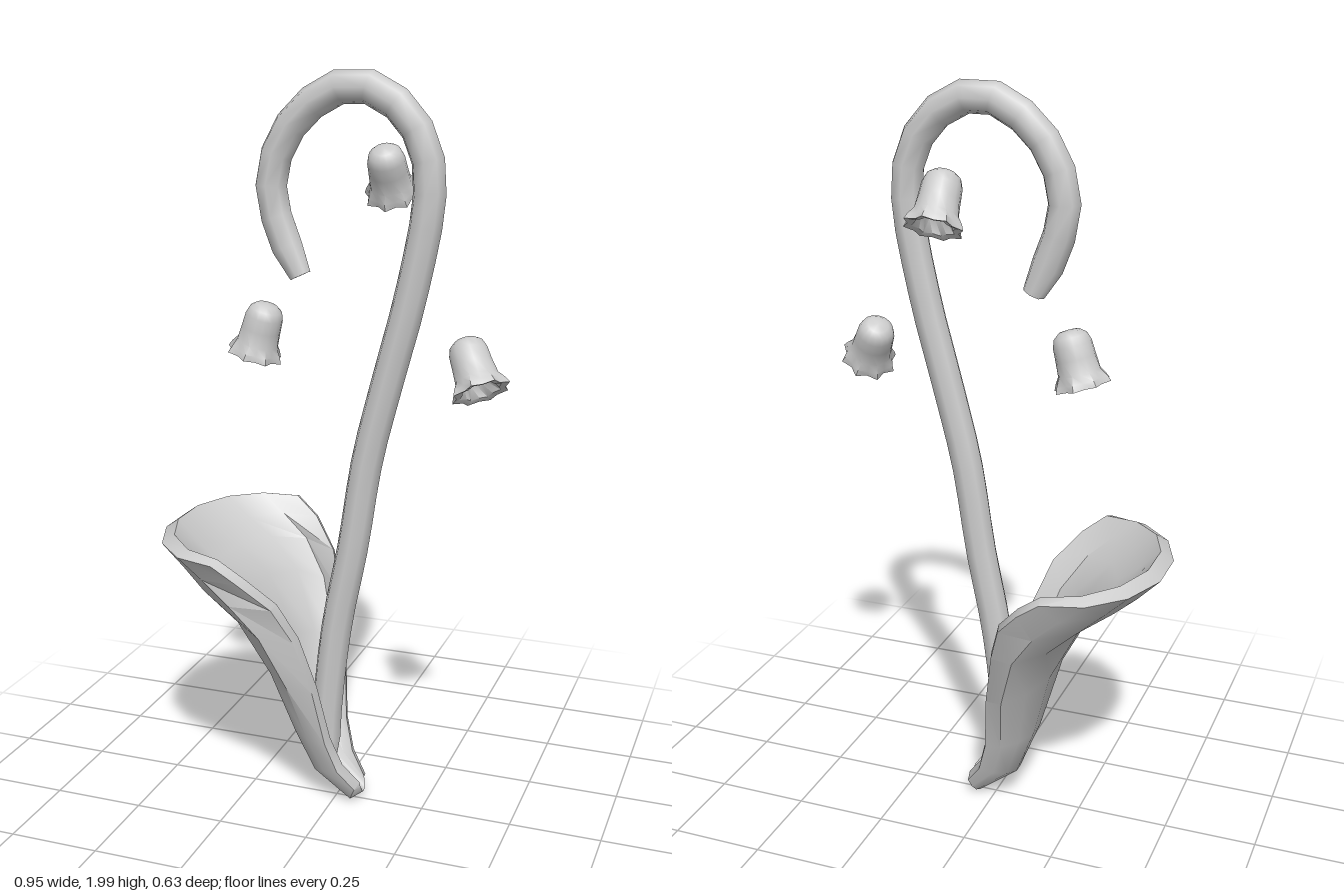
import * as THREE from 'three';
import { mergeVertices, toCreasedNormals } from 'three/addons/utils/BufferGeometryUtils.js';

const material = new THREE.MeshStandardMaterial({ color: 0xcccccc });

function addMesh(parent, name, geometry) {
  const mesh = new THREE.Mesh(geometry, material);
  mesh.name = name;
  parent.add(mesh);
  return mesh;
}

// Hooked stem with slightly tapered, capped ends
function makeStem() {
  const stem = new THREE.Group();
  stem.name = 'stem';
  const radius = 0.043, rings = 32, sides = 8;
  const path = new THREE.CatmullRomCurve3([
    [-0.035, 0.1], [-0.03, 0.25], [0.0, 0.52], [0.045, 0.75], [0.085, 1.0], [0.14, 1.22],
    [0.2, 1.45], [0.243, 1.7], [0.228, 1.81], [0.165, 1.905], [0.045, 1.957],
    [-0.08, 1.9], [-0.155, 1.8], [-0.178, 1.69], [-0.145, 1.57], [-0.1, 1.475],
  ].map(([x, y]) => new THREE.Vector3(x, y, 0)));
  const tube = new THREE.TubeGeometry(path, rings, radius, sides);
  const pos = tube.attributes.position;
  const v = new THREE.Vector3();
  for (const end of [0, 1]) {
    const centre = path.getPointAt(end);
    for (let k = 0; k <= sides; k++) {
      const i = end * rings * (sides + 1) + k;
      v.fromBufferAttribute(pos, i).sub(centre).multiplyScalar(0.7).add(centre);
      pos.setXYZ(i, v.x, v.y, v.z);
    }
    const cap = addMesh(stem, 'stemEnd', new THREE.CircleGeometry(radius * 0.7, sides));
    cap.position.copy(centre);
    const outward = path.getTangentAt(end).multiplyScalar(end ? 1 : -1);
    cap.quaternion.setFromUnitVectors(new THREE.Vector3(0, 0, 1), outward);
  }
  addMesh(stem, 'stemTube', tube);
  return stem;
}

// Thick flaring leaf: each row is a curled arc from one free edge round the back to the other
function makeLeaf() {
  // back x, back y, edge x, edge y, half width, curl angle
  const rows = [
    [-0.48, 0.77, -0.23, 0.77, 0.315, 90],
    [-0.42, 0.71, -0.165, 0.72, 0.3, 97],
    [-0.365, 0.665, -0.095, 0.64, 0.278, 118],
    [-0.265, 0.59, -0.055, 0.53, 0.24, 128],
    [-0.18, 0.43, -0.022, 0.37, 0.178, 128],
    [-0.125, 0.23, -0.002, 0.2, 0.105, 115],
    [-0.07, 0.09, 0.025, 0.11, 0.073, 95],
    [0.045, 0.0, 0.068, 0.05, 0.05, 90],
  ];
  const cols = 7, loop = 2 * (cols + 1);
  const points = [], index = [];
  const quad = (a, b, c, d) => index.push(a, b, c, a, c, d);

  for (const [xb, yb, xe, ye, w, curl] of rows) {
    const T = THREE.MathUtils.degToRad(curl);
    for (let k = 0; k < loop; k++) {
      const inner = k > cols ? 1 : 0;
      const j = inner ? loop - 1 - k : k;
      const t = T * (2 * j / cols - 1);
      const s = (1 - Math.cos(t)) / (1 - Math.cos(T));
      const x0 = xb + inner * 0.035, x1 = xe + inner * 0.006;
      const y0 = yb + inner * 0.025, y1 = ye + inner * 0.01;
      points.push(x0 + (x1 - x0) * s, y0 + (y1 - y0) * s, (w - inner * 0.03) * Math.sin(t));
    }
  }
  for (let i = 0; i < rows.length - 1; i++) {
    for (let k = 0; k < loop; k++) {
      const n = (k + 1) % loop, a = i * loop, b = a + loop;
      quad(a + k, b + k, b + n, a + n);
    }
  }
  // Rim at the top and lip at the tip
  const last = (rows.length - 1) * loop;
  for (let j = 0; j < cols; j++) {
    const inJ = loop - 1 - j;
    quad(j, j + 1, inJ - 1, inJ);
    quad(last + inJ, last + inJ - 1, last + j + 1, last + j);
  }
  const geometry = new THREE.BufferGeometry();
  geometry.setAttribute('position', new THREE.Float32BufferAttribute(points, 3));
  geometry.setIndex(index);
  return toCreasedNormals(geometry, 0.8);
}

// Hollow bell with a scalloped mouth; origin at the mouth, crown towards +y
function makeBellGeometry() {
  const profile = [
    [0, 0.05], [0.036, 0.035], [0.052, 0.004], [0.07, 0], [0.066, 0.016], [0.056, 0.036],
    [0.052, 0.075], [0.05, 0.11], [0.043, 0.131], [0.028, 0.143], [0, 0.147],
  ].map(([r, y]) => new THREE.Vector2(r, y));
  let geometry = new THREE.LatheGeometry(profile, 16);
  const pos = geometry.attributes.position;
  for (let i = 0; i < pos.count; i++) {
    const x = pos.getX(i), y = pos.getY(i), z = pos.getZ(i);
    const fade = Math.max(0, 1 - y / 0.045);
    const lobe = 1 + 0.11 * fade * Math.cos(8 * Math.atan2(x, z));
    pos.setXYZ(i, x * lobe, y, z * lobe);
  }
  geometry.deleteAttribute('normal');
  geometry.deleteAttribute('uv');
  geometry = mergeVertices(geometry, 1e-5);
  return toCreasedNormals(geometry, 0.9);
}

export function createModel() {
  const model = new THREE.Group();
  model.name = 'bellFlower';
  model.add(makeStem());
  addMesh(model, 'leaf', makeLeaf());

  // Floating bells: mouth centre and direction towards the crown
  const bell = makeBellGeometry();
  const up = new THREE.Vector3(0, 1, 0);
  const bells = [
    ['backBell', [0.075, 1.668, -0.228], [0, 0.84, 0.54]],
    ['rightBell', [-0.24, 1.253, -0.02], [0.28, 0.96, 0.03]],
    ['leftBell', [0.41, 1.228, 0.095], [-0.42, 0.8, -0.43]],
  ];
  for (const [name, mouth, crown] of bells) {
    const mesh = addMesh(model, name, bell);
    mesh.position.set(...mouth);
    mesh.quaternion.setFromUnitVectors(up, new THREE.Vector3(...crown).normalize());
  }
  return model;
}
